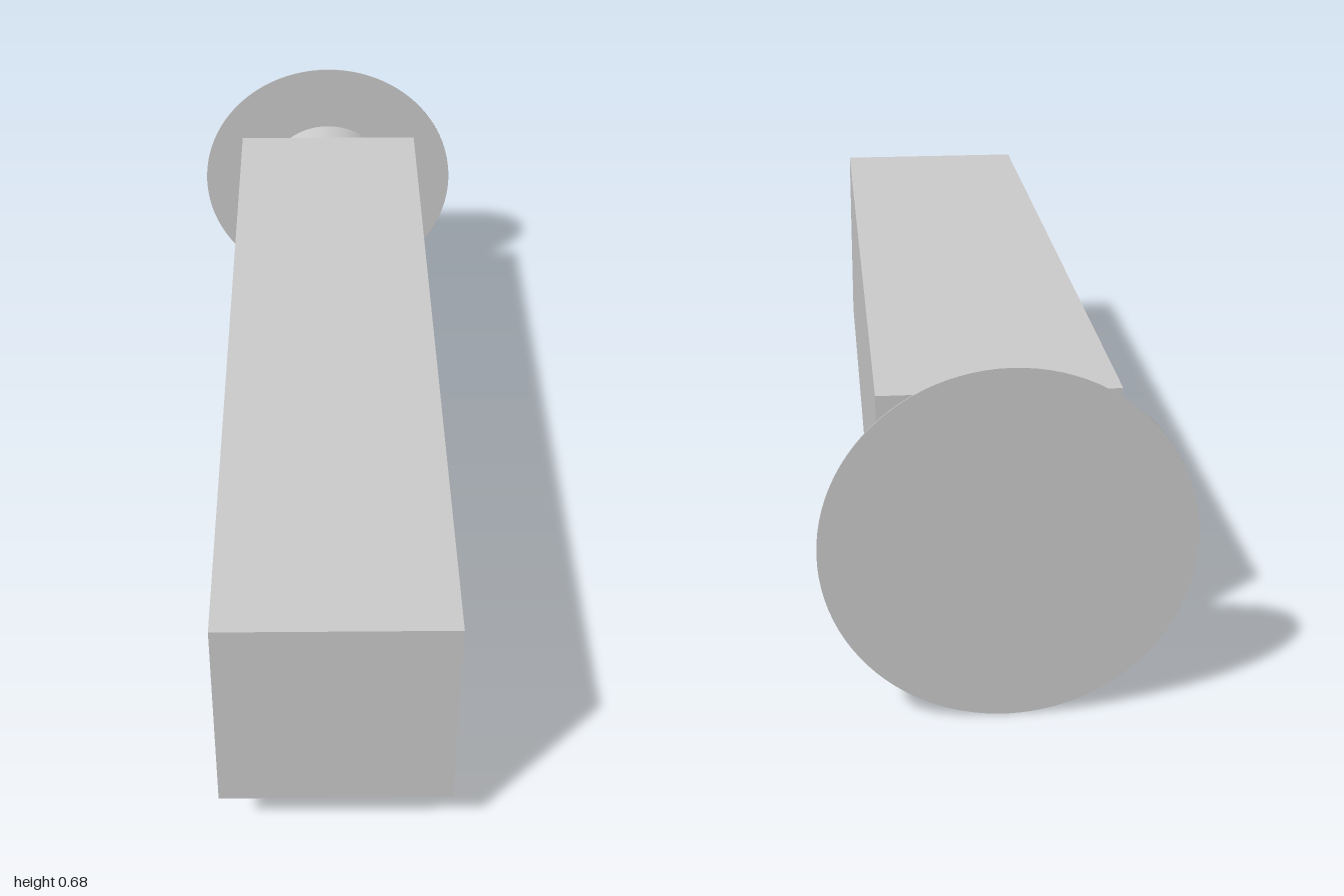
import * as THREE from 'three';

export function createModel() {
  const group = new THREE.Group();
  const grey = new THREE.MeshStandardMaterial({ color: 0xcccccc });
  const axisY = 0.343;

  // Adds a part centred on the long axis, spanning z0 to z1
  const add = (name, geometry, z0, z1) => {
    const mesh = new THREE.Mesh(geometry, grey);
    mesh.name = name;
    mesh.position.set(0, axisY, (z0 + z1) / 2);
    group.add(mesh);
  };
  const rod = (radius, length, sides) =>
    new THREE.CylinderGeometry(radius, radius, length, sides).rotateX(Math.PI / 2);

  // Long square bar
  add('bar', new THREE.BoxGeometry(0.456, 0.456, 1.826), -0.826, 1);
  // Round neck between bar and plate
  add('neck', rod(0.171, 0.173, 64), -0.999, -0.826);
  // Thin round mounting plate at the back
  add('mountingPlate', rod(0.342, 0.002, 96), -1, -0.998);

  return group;
}
